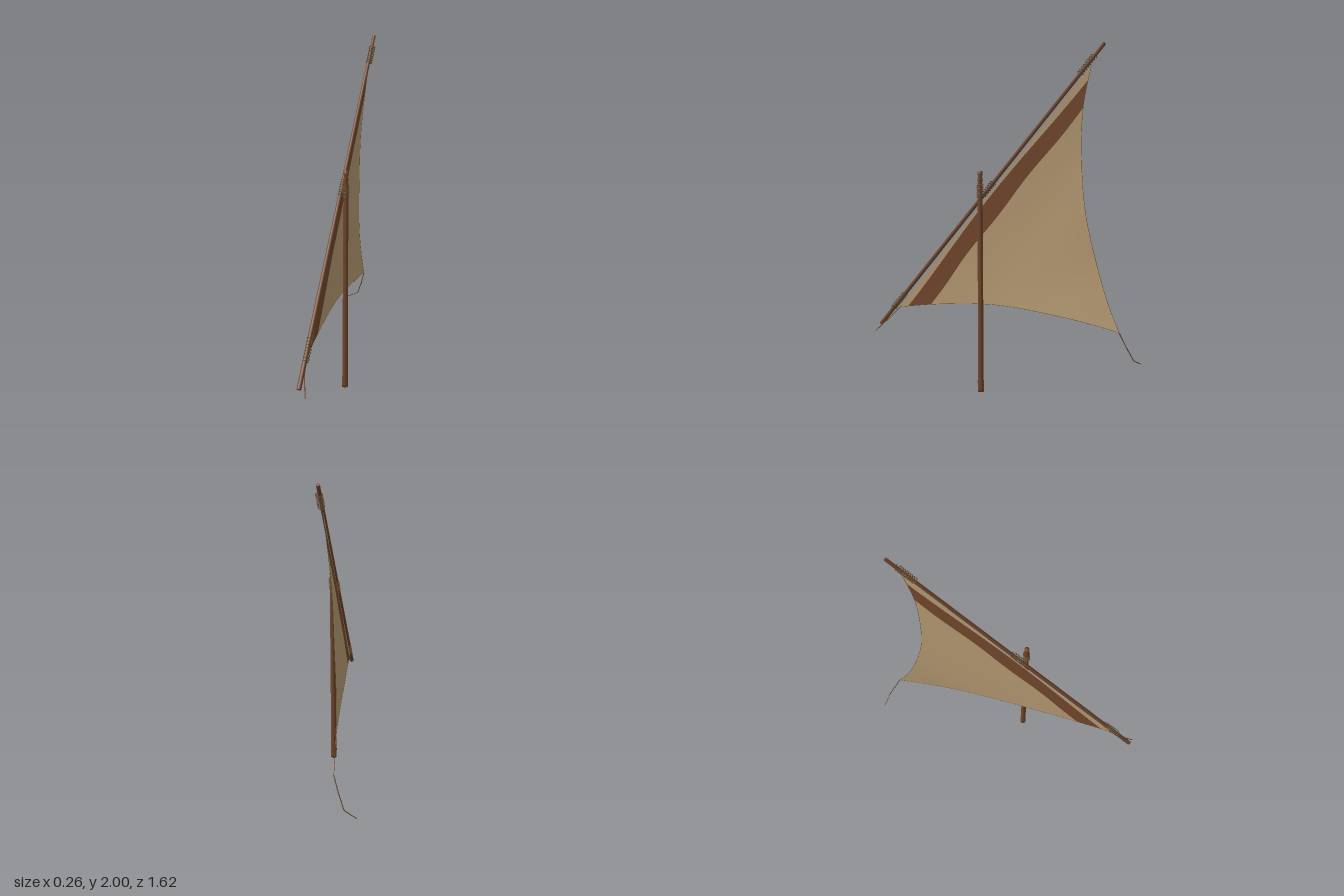
import * as THREE from 'three';

const V = (x, y, z) => new THREE.Vector3(x, y, z);

export function createModel() {
  const root = new THREE.Group();
  const mat = (name, color, side = THREE.FrontSide) => {
    const m = new THREE.MeshStandardMaterial({ color, side });
    m.name = name;
    return m;
  };
  const wood = mat('wood', 0x6f452b);
  const rope = mat('rope', 0x655032);
  const canvas = mat('canvas', 0xb89c74, THREE.DoubleSide);
  const stripe = mat('stripe', 0x74482d, THREE.DoubleSide);

  const add = (name, geo, material) => {
    const mesh = new THREE.Mesh(geo, material);
    mesh.name = name;
    root.add(mesh);
    return mesh;
  };

  // Mast with base bands and a notched head
  const mast = [[0, 0], [0.0175, 0], [0.0175, 0.02], [0.0155, 0.023], [0.0175, 0.027], [0.0175, 0.042],
    [0.0155, 0.046], [0.0185, 0.05], [0.0185, 0.064], [0.0165, 0.07], [0.0145, 1.22], [0.012, 1.235],
    [0.0145, 1.245], [0.0145, 1.255], [0.0115, 1.265], [0.0135, 1.28], [0.0135, 1.297], [0, 1.3]];
  add('mast', new THREE.LatheGeometry(mast.map(p => new THREE.Vector2(...p)), 12), wood)
    .position.set(0.107, 0, 0.077);

  // Slanted yard
  const low = V(0.073, 0.306, 0.793), high = V(0.073, 1.994, -0.634);
  const dir = high.clone().sub(low).normalize();
  const up = V(0, 1, 0);
  const yard = add('yard', new THREE.CylinderGeometry(0.0095, 0.0125, low.distanceTo(high), 10), wood);
  yard.position.copy(low).lerp(high, 0.5);
  yard.quaternion.setFromUnitVectors(up, dir);

  // Rope coils
  const coil = (name, center, axis, radius, length, turns) => {
    const pts = [];
    for (let i = 0; i <= turns * 10; i++) {
      const a = i * Math.PI / 5;
      pts.push(V(Math.cos(a) * radius, (i / (turns * 10) - 0.5) * length, Math.sin(a) * radius));
    }
    const geo = new THREE.TubeGeometry(new THREE.CatmullRomCurve3(pts), turns * 12, 0.0024, 5);
    const mesh = add(name, geo, rope);
    mesh.position.copy(center);
    mesh.quaternion.setFromUnitVectors(up, axis);
  };
  const onYard = y => low.clone().lerp(high, (y - low.y) / (high.y - low.y)).add(V(0.004, 0, 0));
  coil('headLashing', onYard(1.885), dir, 0.0165, 0.13, 8);
  coil('tackLashing', onYard(0.47), dir, 0.0165, 0.14, 8);
  coil('yardLashing', onYard(1.195), dir, 0.0165, 0.11, 7);
  coil('mastLashing', V(0.107, 1.188, 0.077), up, 0.0185, 0.075, 6);

  // Sail outline: foot runs tack to clew, leech runs head to clew
  const tack = V(0.07, 0.43, 0.65), head = V(0.068, 1.88, -0.56), clew = V(0, 0.44, -0.725);
  const foot = new THREE.CatmullRomCurve3([tack, V(0.057, 0.475, 0.4), V(0.042, 0.51, 0.1),
    V(0.036, 0.514, -0.1), V(0.026, 0.492, -0.4), V(0.01, 0.464, -0.6), clew]);
  const leech = new THREE.CatmullRomCurve3([head, V(0.052, 1.66, -0.513), V(0.031, 1.4, -0.5),
    V(0.018, 1.1, -0.522), V(0.001, 0.8, -0.59), V(-0.001, 0.6, -0.655), clew]);

  // Distance of a point from the edge along the yard
  const luffY = head.y - tack.y, luffZ = head.z - tack.z, luff = Math.hypot(luffY, luffZ);
  const away = p => ((p.y - tack.y) * luffZ - (p.z - tack.z) * luffY) / luff;
  const depth = away(clew);
  const at = (curve, d) => {
    let a = 0, b = 1;
    for (let i = 0; i < 24; i++) {
      const m = (a + b) / 2;
      if (away(curve.getPoint(m)) < d) a = m; else b = m;
    }
    return curve.getPoint((a + b) / 2);
  };

  // Cloth strips between two seams; a seam gives its distance from the yard edge
  const panel = (name, seam0, seam1, rows, material) => {
    const cols = 32, pos = [], idx = [];
    for (let r = 0; r <= rows; r++) {
      for (let c = 0; c <= cols; c++) {
        const t = c / cols, d = THREE.MathUtils.lerp(seam0(t), seam1(t), r / rows);
        const p = at(foot, d).lerp(at(leech, d), t);
        pos.push(p.x, p.y, p.z);
        if (r < rows && c < cols) {
          const i = r * (cols + 1) + c, j = i + cols + 1;
          idx.push(i, j, i + 1, i + 1, j, j + 1);
        }
      }
    }
    const geo = new THREE.BufferGeometry();
    geo.setAttribute('position', new THREE.Float32BufferAttribute(pos, 3));
    geo.setIndex(idx);
    geo.computeVertexNormals();
    add(name, geo, material);
  };
  const luffSeam = () => 0;
  const innerSeam = t => 0.022 + 0.012 * Math.cos(2 * Math.PI * t);
  const outerSeam = t => 0.106 + 0.03 * (1 - t) ** 3 + 0.004 * Math.sin(16 * t);
  const clewSeam = () => depth;
  panel('sailEdge', luffSeam, innerSeam, 1, canvas);
  panel('sailStripe', innerSeam, outerSeam, 4, stripe);
  panel('sailCloth', outerSeam, clewSeam, 24, canvas);

  // Edge ropes and loose lines
  const line = (name, curve, radius) => add(name, new THREE.TubeGeometry(curve, 40, radius, 5), rope);
  line('footRope', foot, 0.0012);
  line('leechRope', leech, 0.0012);
  const path = (...pts) => {
    const p = new THREE.CurvePath();
    for (let i = 1; i < pts.length; i++) p.add(new THREE.LineCurve3(pts[i - 1], pts[i]));
    return p;
  };
  line('sheet', path(clew, V(-0.028, 0.355, -0.758), V(-0.062, 0.27, -0.793), V(-0.132, 0.234, -0.808)), 0.003);
  line('tackLine', path(tack, V(0.078, 0.36, 0.72), V(0.112, 0.268, 0.81)), 0.003);

  return root;
}
